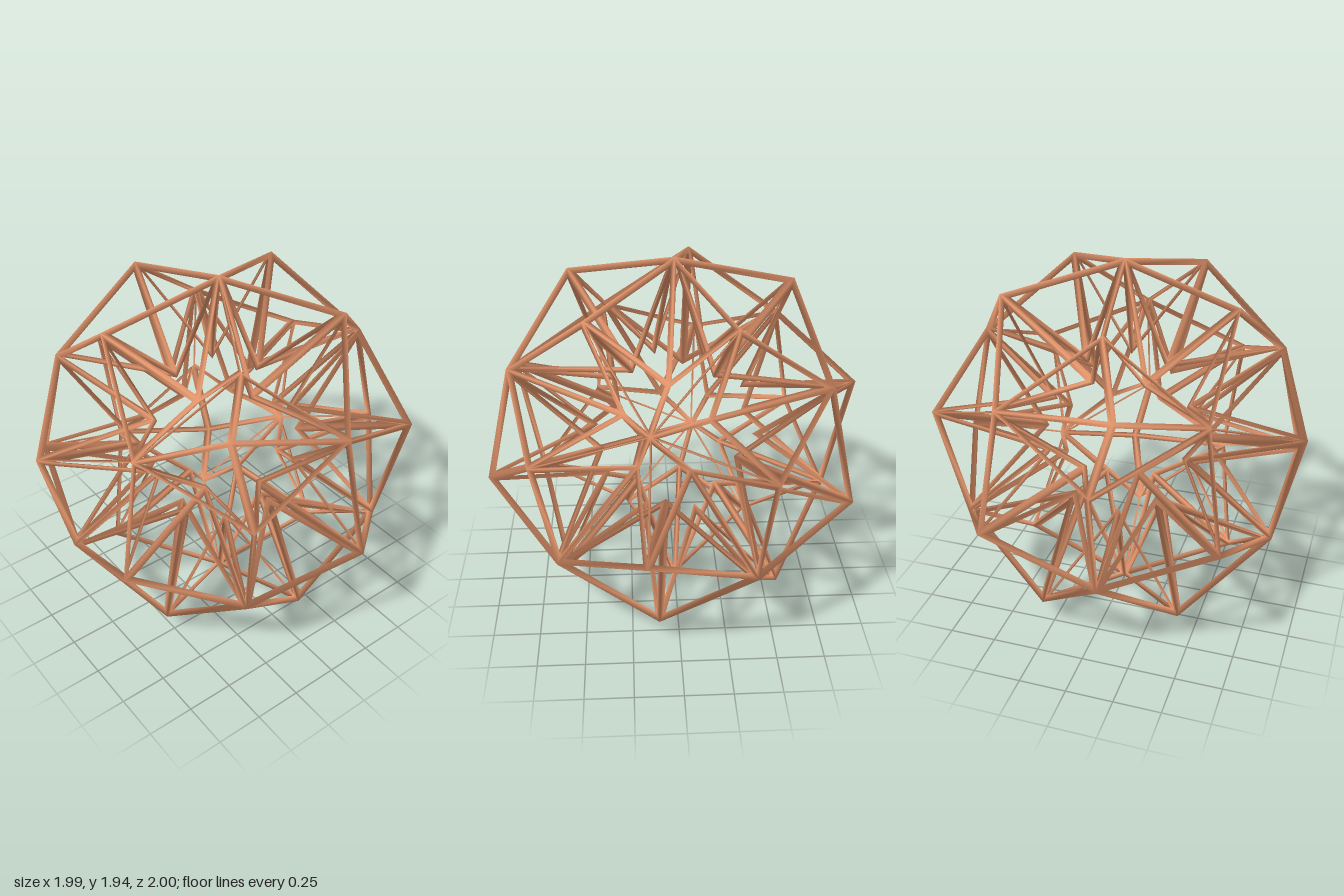
import * as THREE from 'three';
import { mergeGeometries } from 'three/addons/utils/BufferGeometryUtils.js';

// Radii of the three kinds of corner; together they make every triangle equilateral
const R_FIVE = 0.959, R_THREE = 1.017, R_INNER = 0.429;
const RIDGE = 0.011;     // how far each bar's ridge stands out from, and behind, the triangle
const STRIP = 0.023;     // width of a bar along each triangle side
const TURN = 10;         // rotation about the vertical axis, degrees

// Twelve five-fold axes: two poles and two staggered rings
function fiveFoldAxes() {
  const axes = [new THREE.Vector3(0, 1, 0), new THREE.Vector3(0, -1, 0)];
  const h = 1 / Math.sqrt(5), r = 2 * h;
  for (let k = 0; k < 10; k++) {
    const a = THREE.MathUtils.degToRad(TURN + 36 * k);
    axes.push(new THREE.Vector3(r * Math.cos(a), k % 2 ? -h : h, r * Math.sin(a)));
  }
  return axes;
}

// Open triangle whose sides are half bars: a ridge outside, a ridge inside, and the
// rim of the hole between them. Normals are smooth across neighbouring triangles.
function triangleFrame(a, b, c) {
  const corners = a.clone().cross(b).dot(c) > 0 ? [a, b, c] : [a, c, b];
  const centre = a.clone().add(b).add(c).divideScalar(3);
  const inRadius = a.distanceTo(centre) / 2;
  const position = [], normal = [], index = [];
  for (const v of corners) {
    const out = v.clone().normalize();
    const rim = v.clone().lerp(centre, STRIP / inRadius);
    const toHole = centre.clone().sub(v).normalize();
    position.push(...v.clone().addScaledVector(out, RIDGE), ...rim, ...v.clone().addScaledVector(out, -RIDGE));
    normal.push(...out, ...toHole, ...out.clone().negate());
  }
  for (let s = 0; s < 3; s++) {
    const p = 3 * s, q = 3 * ((s + 1) % 3);
    index.push(p, q, q + 1, p, q + 1, p + 1);                       // outer side
    index.push(p + 1, q + 1, q + 2, p + 1, q + 2, p + 2);           // inner side
  }
  const geo = new THREE.BufferGeometry();
  geo.setAttribute('position', new THREE.Float32BufferAttribute(position, 3));
  geo.setAttribute('normal', new THREE.Float32BufferAttribute(normal, 3));
  return geo.setIndex(index);
}

export function createModel() {
  const group = new THREE.Group();
  group.name = 'starLattice';
  const material = new THREE.MeshStandardMaterial({ color: 0xe0936a });

  const axes = fiveFoldAxes();
  const near = (p, q) => p.dot(q) > 0.4;
  const at = (v, r) => v.clone().normalize().multiplyScalar(r);

  // Each of the twenty neighbouring triples of axes carries six triangles
  for (let i = 0; i < 12; i++) for (let j = i + 1; j < 12; j++) for (let k = j + 1; k < 12; k++) {
    const trio = [axes[i], axes[j], axes[k]];
    if (!near(trio[0], trio[1]) || !near(trio[1], trio[2]) || !near(trio[0], trio[2])) continue;
    const peak = at(trio[0].clone().add(trio[1]).add(trio[2]), R_THREE);
    const frames = [];
    for (const p of trio) for (const q of trio) {
      if (p === q) continue;
      const inner = at(p.clone().add(q), R_INNER);
      frames.push(triangleFrame(at(p, R_FIVE), peak, inner));
    }
    const mesh = new THREE.Mesh(mergeGeometries(frames), material);
    mesh.name = 'pointFrame' + (group.children.length + 1);
    mesh.position.y = R_FIVE + RIDGE;
    group.add(mesh);
  }
  return group;
}
